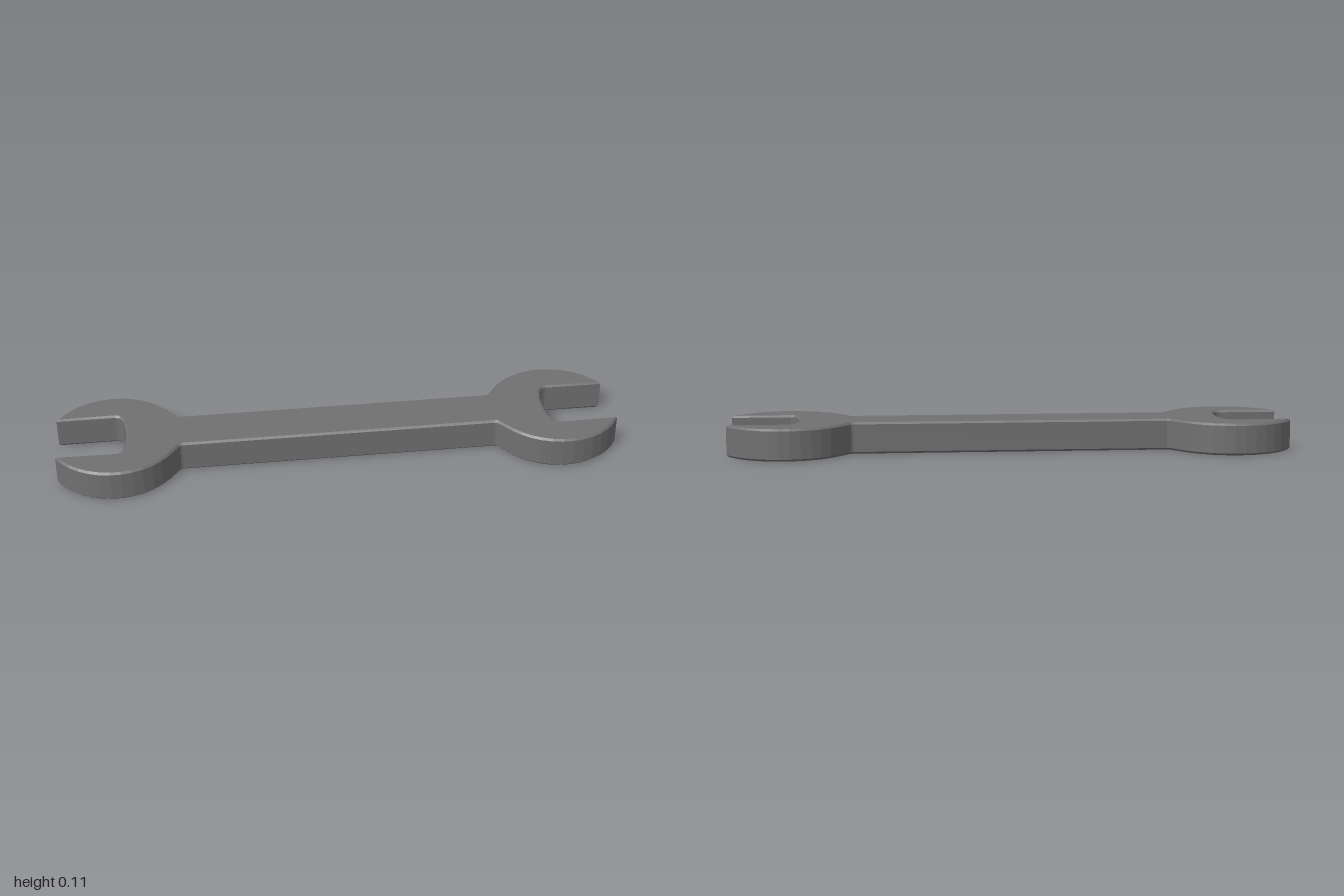
import * as THREE from 'three';

const HEIGHT = 0.112, BEVEL = 0.007;
const HEAD_X = 0.793, HEAD_R = 0.235, JAW = 0.113, NECK = 0.088;

// One quarter of the outline, from the mouth round the jaw to the handle
function quarterOutline() {
  const pts = [[0.753, 0.018], [0.756, 0.05], [0.761, 0.077], [0.768, 0.097], [0.777, 0.108], [0.79, JAW]];
  const start = Math.asin(JAW / HEAD_R), end = Math.PI - Math.asin(0.145 / HEAD_R), steps = 12;
  for (let i = 0; i <= steps; i++) {
    const a = start + (end - start) * i / steps;
    pts.push([HEAD_X + HEAD_R * Math.cos(a), HEAD_R * Math.sin(a)]);
  }
  // tight corner into the handle
  pts.push([0.571, NECK + 0.008], [0.566, NECK + 0.002], [0.558, NECK]);
  return pts;
}

export function createModel() {
  const group = new THREE.Group();
  group.name = 'openEndWrench';

  // Mirror the quarter into a closed counter-clockwise outline
  const quarter = quarterOutline();
  const outline = [];
  for (const [sx, sy] of [[1, 1], [-1, 1], [-1, -1], [1, -1]]) {
    const part = quarter.map(([x, y]) => new THREE.Vector2(x * sx, y * sy));
    outline.push(...(sx * sy > 0 ? part : part.reverse()));
  }

  // Chamfered flat body, laid down on the ground
  const geometry = new THREE.ExtrudeGeometry(new THREE.Shape(outline), {
    depth: HEIGHT - 2 * BEVEL,
    bevelEnabled: true,
    bevelThickness: BEVEL,
    bevelSize: BEVEL,
    bevelOffset: -BEVEL,
    bevelSegments: 1,
  });
  geometry.rotateX(-Math.PI / 2);
  geometry.translate(0, BEVEL, 0);

  // Dark steel
  const body = new THREE.Mesh(geometry, new THREE.MeshStandardMaterial({ color: 0x707070, flatShading: true }));
  body.name = 'wrenchBody';
  group.add(body);
  return group;
}
